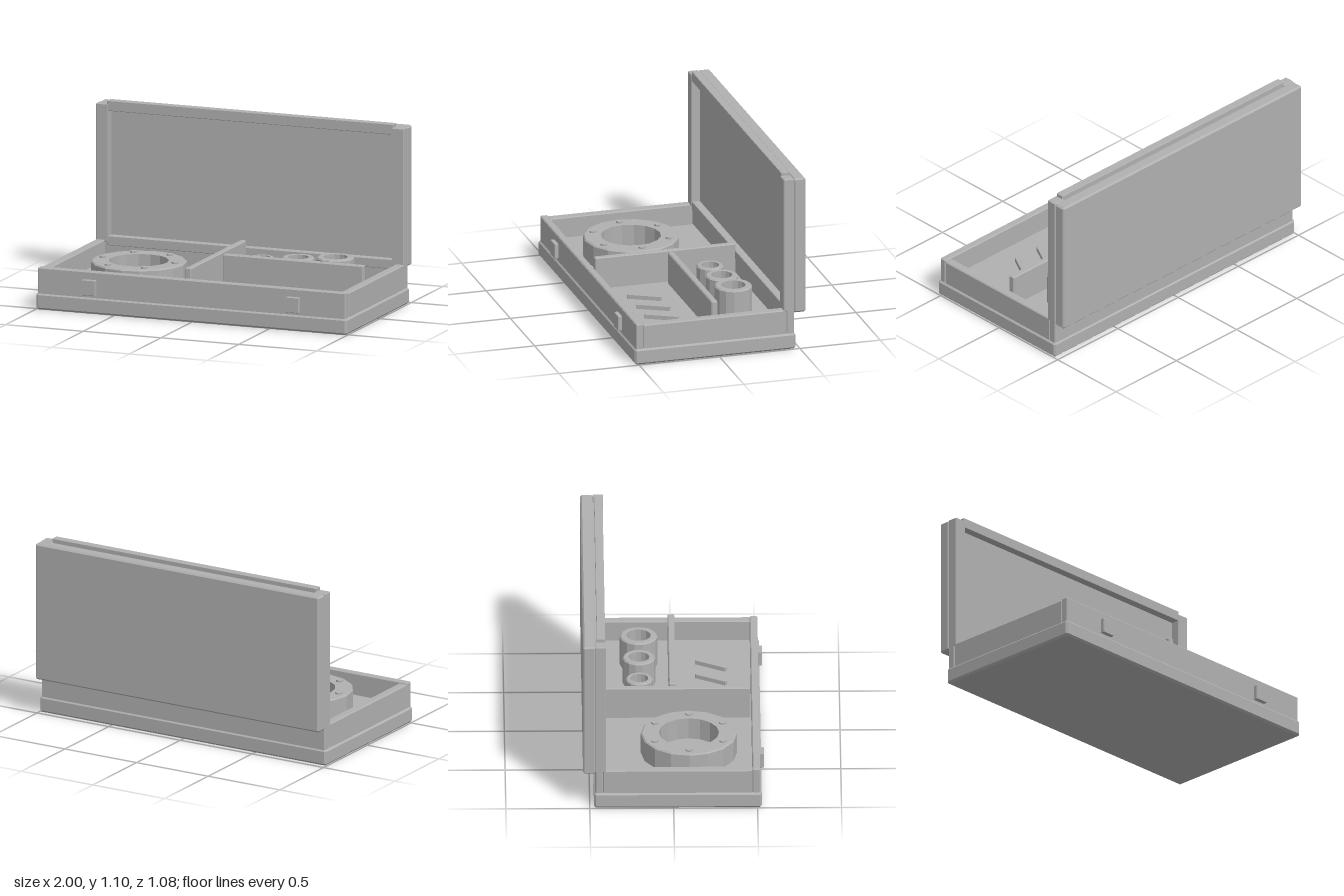
import * as THREE from 'three';
import { ConvexGeometry } from 'three/addons/geometries/ConvexGeometry.js';

const grey = new THREE.MeshStandardMaterial({ color: 0xb0b0b0, flatShading: true });
grey.name = 'plain grey';

// Box with chamfered edges, spanning two corner points
function chamferBox(name, [x0, y0, z0], [x1, y1, z1], c = 0.006) {
  const h = [(x1 - x0) / 2, (y1 - y0) / 2, (z1 - z0) / 2];
  const pts = [];
  for (const sx of [-1, 1]) for (const sy of [-1, 1]) for (const sz of [-1, 1])
    for (let full = 0; full < 3; full++) {
      const d = h.map((v, i) => (i === full ? v : v - c));
      pts.push(new THREE.Vector3(sx * d[0], sy * d[1], sz * d[2]));
    }
  const mesh = new THREE.Mesh(new ConvexGeometry(pts), grey);
  mesh.name = name;
  mesh.position.set((x0 + x1) / 2, (y0 + y1) / 2, (z0 + z1) / 2);
  return mesh;
}

// Hollow faceted cylinder with a small outer bevel
function ring(name, x, z, outer, inner, bottom, top, sides) {
  const b = 0.008;
  const profile = [
    [inner, bottom], [outer, bottom], [outer, top - b], [outer - b, top], [inner, top], [inner, bottom],
  ].map(([r, y]) => new THREE.Vector2(r, y));
  const mesh = new THREE.Mesh(new THREE.LatheGeometry(profile, sides), grey);
  mesh.name = name;
  mesh.position.set(x, 0, z);
  return mesh;
}

export function createModel() {
  const model = new THREE.Group();
  model.name = 'toolCase';
  const floor = 0.12;

  // Lower tray
  const tray = new THREE.Group();
  tray.name = 'tray';
  tray.add(
    chamferBox('base', [-1, 0, -0.475], [1, 0.1, 0.525], 0.012),
    chamferBox('floor', [-0.95, 0.09, -0.43], [0.95, floor, 0.48], 0.002),
    chamferBox('frontWall', [-0.99, 0.09, 0.47], [0.99, 0.255, 0.516]),
    chamferBox('backWall', [-0.99, 0.09, -0.467], [0.99, 0.255, -0.42]),
  );
  for (const s of [-1, 1]) {
    const x = s * 0.9625;
    tray.add(chamferBox('sideWall', [x - 0.0275, 0.09, -0.42], [x + 0.0275, 0.247, 0.472]));
    const lx = s * 0.655;
    tray.add(chamferBox('latch', [lx - 0.043, 0.113, 0.505], [lx + 0.043, 0.207, 0.54], 0.003));
  }
  model.add(tray);

  // Compartment dividers
  model.add(
    chamferBox('longDivider', [-0.062, 0.11, -0.41], [-0.024, 0.316, 0.465]),
    chamferBox('crossDivider', [0, 0.11, -0.02], [0.9, 0.316, 0.02]),
  );

  // Open lid: backing panel, side stiles and rails
  const lid = new THREE.Group();
  lid.name = 'lid';
  lid.add(
    chamferBox('lidPanel', [-0.99, 0.225, -0.54], [0.99, 1.075, -0.464], 0.01),
    chamferBox('topRail', [-0.92, 1.033, -0.458], [0.92, 1.096, -0.407], 0.003),
    chamferBox('bottomRail', [-0.92, 0.215, -0.458], [0.92, 0.272, -0.407], 0.003),
    chamferBox('lidLining', [-0.93, 0.24, -0.47], [0.93, 1.06, -0.456], 0.002),
  );
  for (const s of [-1, 1]) {
    const x = s * 0.951;
    lid.add(chamferBox('lidStile', [x - 0.039, 0.235, -0.466], [x + 0.039, 1.075, -0.403], 0.004));
  }
  model.add(lid);

  // Large flange with six bolts
  const flange = new THREE.Group();
  flange.name = 'boltedFlange';
  flange.add(ring('flangeRing', -0.51, 0.095, 0.287, 0.18, floor - 0.01, 0.254, 16));
  for (let i = 0; i < 6; i++) {
    const a = (i * Math.PI) / 3;
    const bolt = new THREE.Mesh(new THREE.CylinderGeometry(0.022, 0.022, 0.02, 8), grey);
    bolt.name = 'bolt';
    bolt.position.set(-0.51 + 0.233 * Math.cos(a), 0.254, 0.095 + 0.233 * Math.sin(a));
    flange.add(bolt);
  }
  model.add(flange);

  // Row of three sockets, growing in size
  const sockets = [[0.16, 0.081, 0.054, 0.27], [0.397, 0.098, 0.063, 0.29], [0.637, 0.113, 0.073, 0.31]];
  for (const [x, outer, inner, top] of sockets)
    model.add(ring('socket', x, -0.195, outer, inner, floor - 0.01, top, 14));

  // Slanted pins lying on the floor
  for (const x of [0.227, 0.408, 0.587]) {
    const pin = chamferBox('pin', [-0.0125, floor - 0.005, -0.103], [0.0125, floor + 0.028, 0.103], 0.003);
    pin.position.x = x;
    pin.position.z = 0.235;
    pin.rotation.y = -0.5;
    model.add(pin);
  }
  return model;
}
